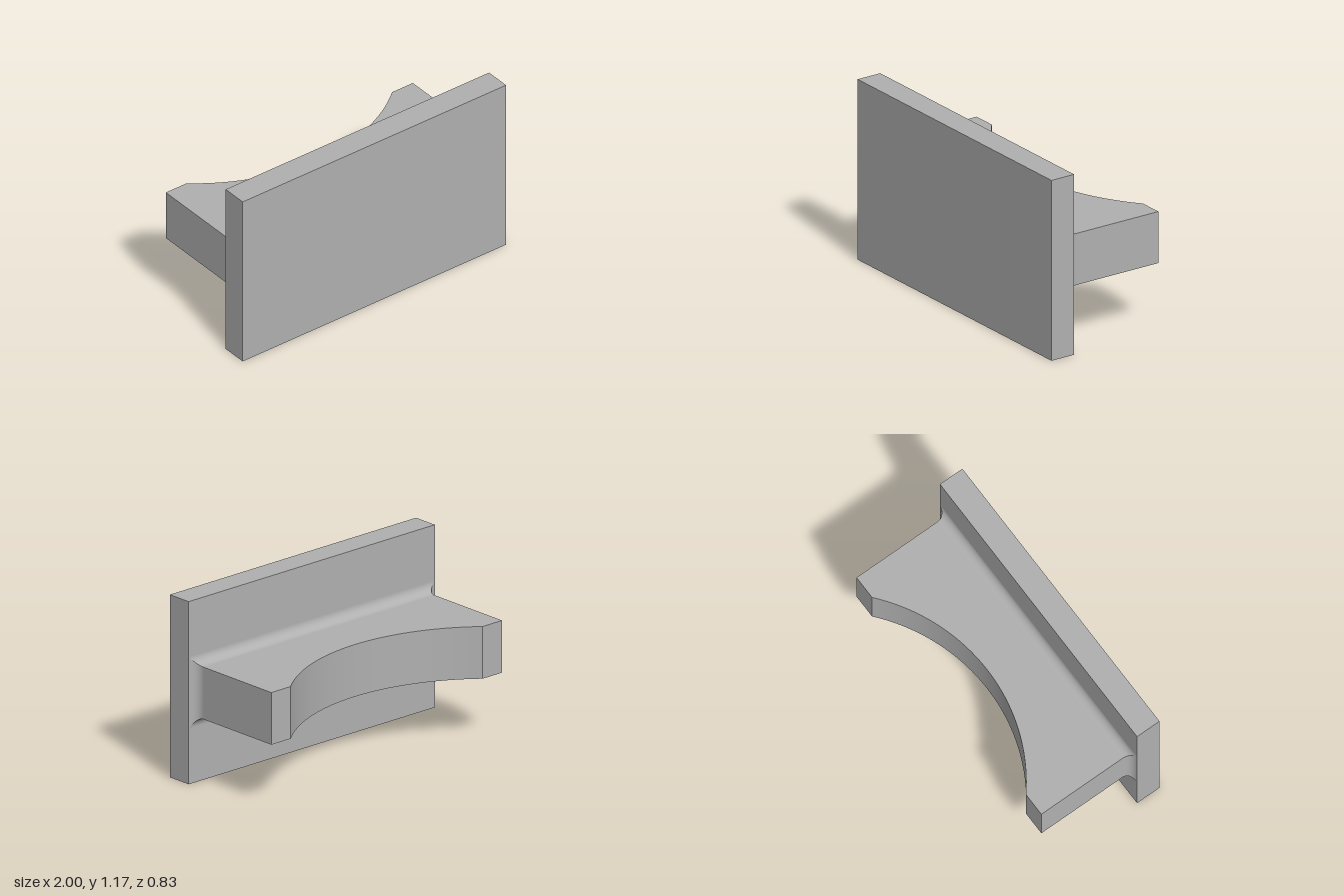
import * as THREE from 'three';
import { toCreasedNormals } from 'three/addons/utils/BufferGeometryUtils.js';

const HALF_W = 0.9375, Y0 = 0.4167, Y1 = 0.75; // arm section
const PLATE_BACK = 0.25, DEPTH = 0.4167, R = 0.0625; // R is the fillet radius

// One concave fillet strip between two neighbouring corners, mitred at its ends
function filletSide(p, q, steps = 16) {
  const pos = [], index = [];
  const midY = (Y0 + Y1) / 2, halfH = (Y1 - Y0) / 2;
  for (let i = 0; i <= steps; i++) {
    const a = (i / steps) * Math.PI / 2;
    const out = R * (1 - Math.cos(a)), z = PLATE_BACK - R + R * Math.sin(a);
    for (const [sx, sy] of [p, q]) pos.push(sx * (HALF_W + out), midY + sy * (halfH + out), z);
    if (i < steps) {
      const k = i * 2;
      index.push(k, k + 1, k + 2, k + 1, k + 3, k + 2);
    }
  }
  const g = new THREE.BufferGeometry();
  g.setAttribute('position', new THREE.Float32BufferAttribute(pos, 3));
  g.setIndex(index);
  g.computeVertexNormals();
  return g;
}

export function createModel() {
  const model = new THREE.Group();
  model.name = 'bracket';
  const grey = new THREE.MeshStandardMaterial({ color: 0xb0b0b0 });
  grey.name = 'grey';
  const add = (name, geometry) => {
    const mesh = new THREE.Mesh(geometry, grey);
    mesh.name = name;
    model.add(mesh);
    return mesh;
  };

  // Upright front plate
  add('plate', new THREE.BoxGeometry(2, 1.1667, DEPTH - PLATE_BACK))
    .position.set(0, 1.1667 / 2, (DEPTH + PLATE_BACK) / 2);

  // Arm with a circular cut in its rear edge, drawn in plan (x, z)
  const chord = 0.78, sag = 0.284;
  const radius = (chord * chord + sag * sag) / (2 * sag);
  const centre = -DEPTH + sag - radius, half = Math.asin(chord / radius);
  const plan = new THREE.Shape();
  plan.moveTo(-HALF_W, PLATE_BACK - R);
  plan.lineTo(-HALF_W, -DEPTH);
  plan.lineTo(-chord, -DEPTH);
  plan.absarc(0, centre, radius, Math.PI / 2 + half, Math.PI / 2 - half, true);
  plan.lineTo(HALF_W, -DEPTH);
  plan.lineTo(HALF_W, PLATE_BACK - R);
  plan.closePath();
  const arm = new THREE.ExtrudeGeometry(plan, { depth: Y1 - Y0, bevelEnabled: false, curveSegments: 48 });
  arm.rotateX(Math.PI / 2).translate(0, Y1, 0);
  add('arm', toCreasedNormals(arm, 0.3));

  // Fillets around the root of the arm
  const corners = [[1, 1], [-1, 1], [-1, -1], [1, -1]];
  ['topFillet', 'rightFillet', 'bottomFillet', 'leftFillet'].forEach((name, i) =>
    add(name, filletSide(corners[i], corners[(i + 1) % 4])));

  return model;
}
